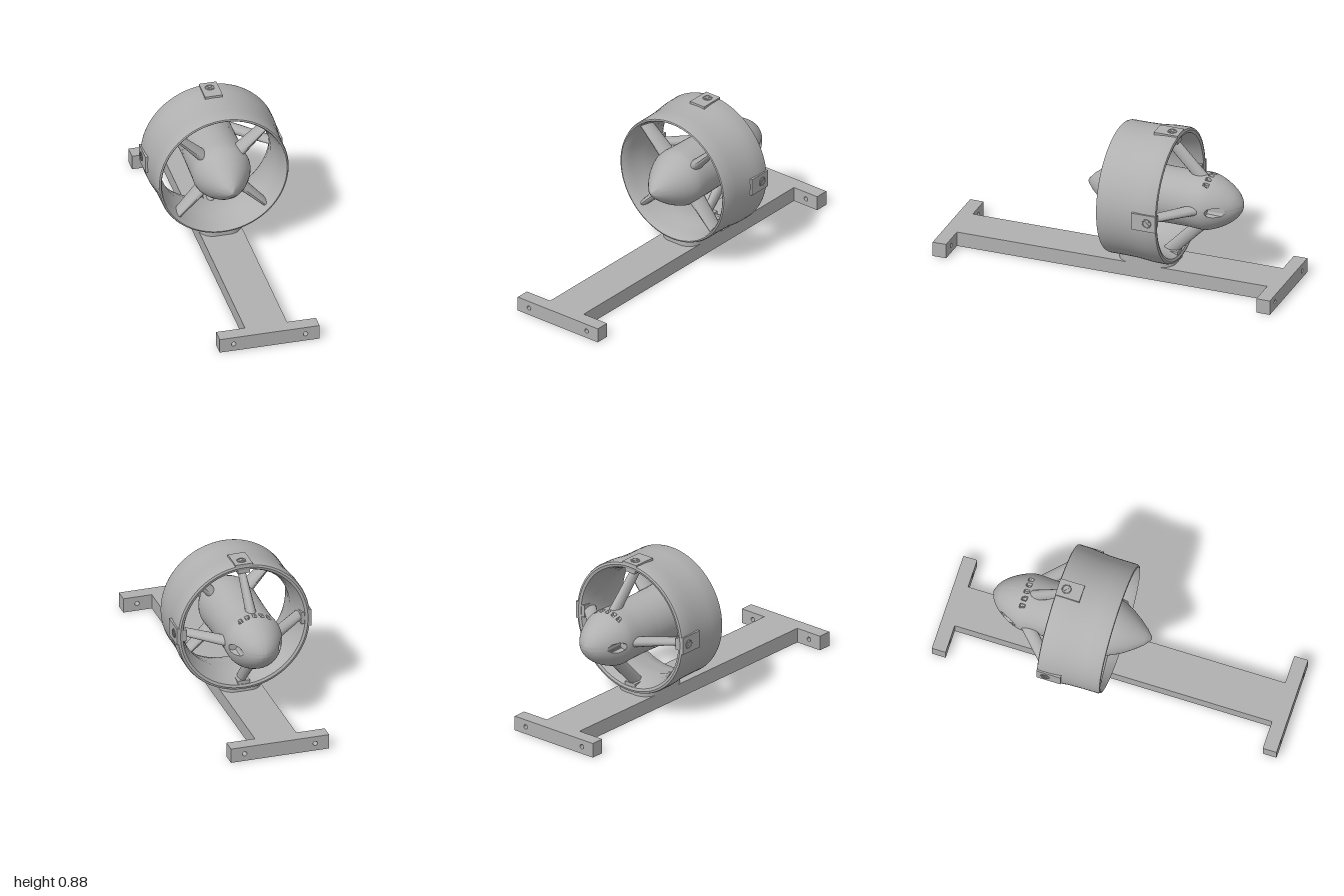
import * as THREE from 'three';
import { toCreasedNormals } from 'three/addons/utils/BufferGeometryUtils.js';

const AXIS = 0.485; // height of the thruster axis

export function createModel() {
  const group = new THREE.Group();
  const grey = new THREE.MeshStandardMaterial({ color: 0xb0b0b0 });
  grey.name = 'plain grey';

  function add(parent, name, geometry) {
    const mesh = new THREE.Mesh(geometry, grey);
    mesh.name = name;
    parent.add(mesh);
    return mesh;
  }
  const points = (list) => list.map(([r, z]) => new THREE.Vector2(r, z));
  // lathe turned so that its axis runs along z
  const latheZ = (pts, segments) => new THREE.LatheGeometry(pts, segments).rotateX(Math.PI / 2);

  function rectangle(x0, y0, x1, y1, holes, holeRadius) {
    const shape = new THREE.Shape(points([[x0, y0], [x1, y0], [x1, y1], [x0, y1]]));
    for (const [x, y] of holes) shape.holes.push(new THREE.Path().absarc(x, y, holeRadius, 0, Math.PI * 2, true));
    return shape;
  }
  const extrude = (shape, depth) => new THREE.ExtrudeGeometry(shape, { depth, bevelEnabled: false, curveSegments: 12 });

  // ---- I-shaped base ----
  const spine = rectangle(-0.12, -0.92, 0.12, 0.92, [[0.07, -0.17], [-0.07, -0.17], [0, -0.085], [0, -0.255]], 0.015);
  add(group, 'baseSpine', extrude(spine, 0.085).rotateX(Math.PI / 2).translate(0, 0.085, 0));
  for (const z of [-1, 0.92]) {
    const plate = rectangle(-0.285, 0, 0.285, 0.085, [[-0.205, 0.043], [0.205, 0.043]], 0.013);
    add(group, z < 0 ? 'baseEndBack' : 'baseEndFront', extrude(plate, 0.08).translate(0, 0, z));
  }

  // ---- foot under the duct, a rounded block ----
  const foot = new THREE.Shape();
  const fx = 0.12, fz = 0.165, fr = 0.08;
  foot.absarc(fx - fr, fz - fr, fr, 0, Math.PI / 2);
  foot.absarc(fr - fx, fz - fr, fr, Math.PI / 2, Math.PI);
  foot.absarc(fr - fx, fr - fz, fr, Math.PI, Math.PI * 1.5);
  foot.absarc(fx - fr, fr - fz, fr, Math.PI * 1.5, Math.PI * 2);
  const footGeometry = extrude(foot, 0.048).rotateX(Math.PI / 2).translate(0, 0.133, -0.185);
  add(group, 'ductFoot', toCreasedNormals(footGeometry, 0.6));

  const thruster = new THREE.Group();
  thruster.name = 'thruster';
  thruster.position.y = AXIS;
  group.add(thruster);

  // ---- duct: flared outside, narrowed throat inside ----
  const duct = points([
    [0.355, -0.357], [0.37, -0.362], [0.382, -0.358], [0.386, -0.345], [0.385, -0.28], [0.38, -0.23],
    [0.375, -0.18], [0.373, -0.1], [0.373, -0.015], [0.368, -0.002], [0.36, 0.001], [0.354, -0.005],
    [0.343, -0.06], [0.326, -0.14], [0.318, -0.2], [0.328, -0.28], [0.344, -0.335], [0.355, -0.357],
  ]);
  add(thruster, 'duct', toCreasedNormals(latheZ(duct, 72), 0.6));

  // ---- hub: pointed nose, straight body and rounded tail ----
  const nose = points([
    [0.158, -0.3], [0.163, -0.1], [0.165, -0.06], [0.161, -0.035], [0.148, 0], [0.122, 0.05],
    [0.088, 0.1], [0.048, 0.15], [0.014, 0.18], [0, 0.186],
  ]);
  add(thruster, 'hubNose', toCreasedNormals(latheZ(nose, 48), 0.6));

  const tailCurve = new THREE.SplineCurve(points([
    [0, -0.735], [0.04, -0.72], [0.08, -0.69], [0.118, -0.64], [0.146, -0.585],
    [0.16, -0.54], [0.162, -0.5], [0.158, -0.42], [0.158, -0.3],
  ]));
  const tailPoints = tailCurve.getSpacedPoints(90);
  tailPoints[0].x = 0;
  const tail = latheZ(tailPoints, 180);
  const pos = tail.attributes.position;
  for (let i = 0; i < pos.count; i++) {
    const x = pos.getX(i), y = pos.getY(i), z = pos.getZ(i);
    // round pocket sunk forward into each side
    if (z < -0.56 && Math.hypot(Math.abs(x) - 0.13, y) < 0.026) pos.setZ(i, -0.56);
    // row of small vents on top
    const inVent = [-0.08, -0.042, 0, 0.042, 0.08].some((v) => Math.abs(x - v) < 0.009);
    if (y > 0 && Math.abs(z + 0.54) < 0.014 && inVent) pos.setXY(i, x * 0.9, y * 0.9);
  }
  add(thruster, 'hubTail', toCreasedNormals(tail, 0.6));

  // ---- tapered arm with an oval section: each end is [radius, z, halfWidth, halfChord] ----
  function arm(root, tip) {
    const g = new THREE.CylinderGeometry(1, 1, 1, 16, 1);
    const p = g.attributes.position;
    for (let i = 0; i < p.count; i++) {
      const t = p.getY(i) + 0.5;
      const [r, z, w, c] = root.map((v, k) => THREE.MathUtils.lerp(v, tip[k], t));
      p.setXYZ(i, p.getX(i) * w, r, z + p.getZ(i) * c);
    }
    return toCreasedNormals(g, 0.7);
  }

  for (let k = 0; k < 4; k++) {
    const angle = k * Math.PI / 2;
    // front vane on the diagonal
    add(thruster, 'frontVane', arm([0.14, -0.085, 0.032, 0.055], [0.348, -0.075, 0.018, 0.045]))
      .rotation.z = angle + Math.PI / 4;

    // swept rear strut with its pad on the inner wall
    const mount = new THREE.Group();
    mount.name = 'rearMount';
    mount.rotation.z = angle;
    thruster.add(mount);
    add(mount, 'rearStrut', arm([0.14, -0.49, 0.029, 0.05], [0.36, -0.28, 0.018, 0.05]));
    add(mount, 'strutPad', new THREE.BoxGeometry(0.07, 0.035, 0.1).translate(0, 0.35, -0.305));

    // outer screw tab, left out above the foot
    if (k === 2) continue;
    add(mount, 'screwTab', new THREE.BoxGeometry(0.1, 0.03, 0.14).translate(0, 0.376, -0.29));
    const screw = new THREE.Group();
    screw.name = 'screw';
    screw.position.set(0, 0.391, -0.31);
    mount.add(screw);
    add(screw, 'screwRim', new THREE.TorusGeometry(0.024, 0.003, 6, 24).rotateX(Math.PI / 2));
    for (const turn of [0.25, 0.75]) {
      add(screw, 'screwCross', new THREE.BoxGeometry(0.036, 0.006, 0.007)).rotation.y = turn * Math.PI;
    }
  }
  return group;
}
